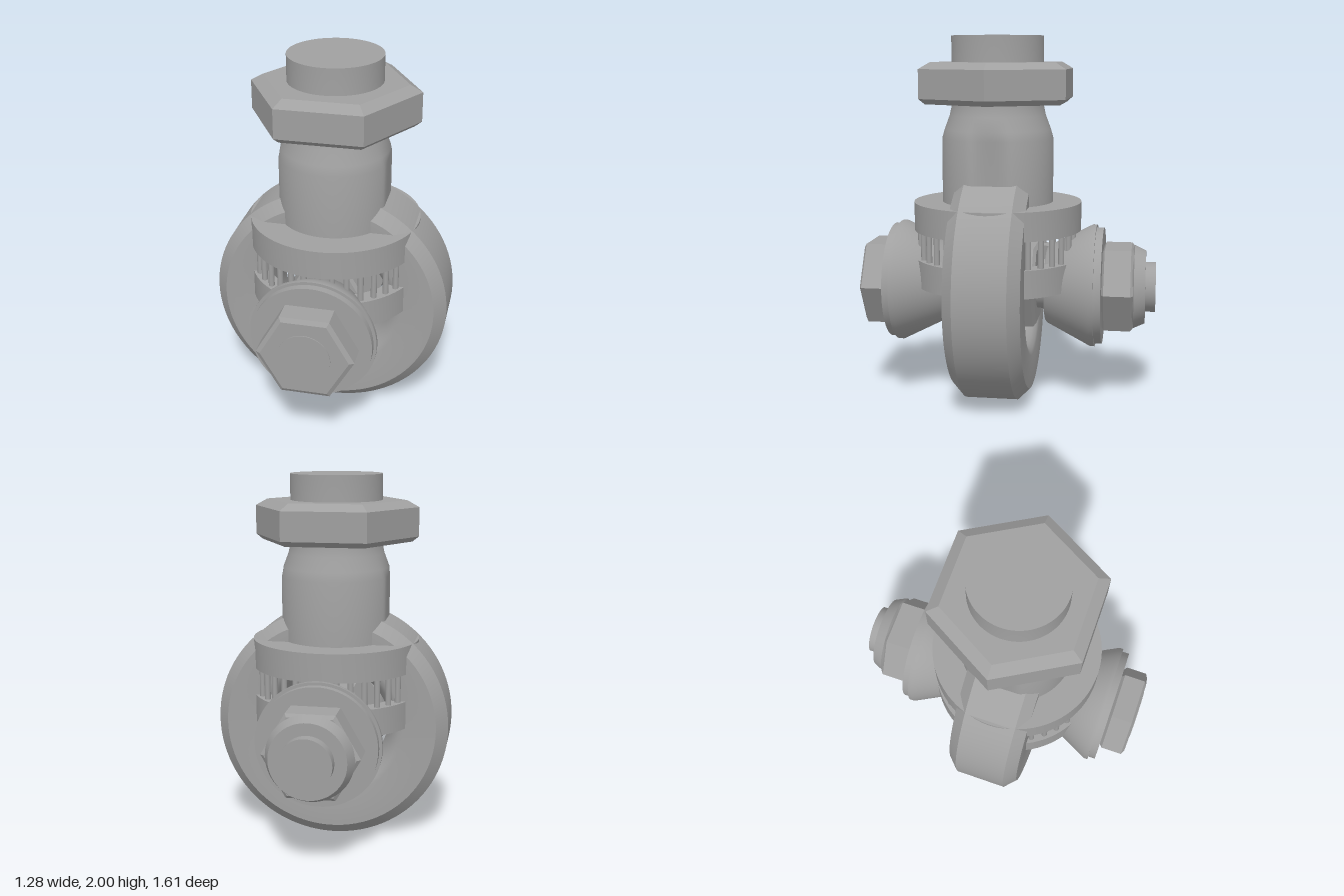
import * as THREE from 'three';
import { toCreasedNormals } from 'three/addons/utils/BufferGeometryUtils.js';

const steel = new THREE.MeshStandardMaterial({ color: 0xa0a0a0 });
steel.name = 'steel';

const AXLE_Y = 0.642; // height of the cross axle
const MID_Z = 0.068; // depth of the eye and shank

// Solid of revolution from [radius, height] pairs, running upwards on the outside.
function turned(profile, sides = 72) {
  const points = profile.map(([r, h]) => new THREE.Vector2(r, h));
  const start = sides === 6 ? Math.PI / 6 : 0; // hexagons point along x
  return toCreasedNormals(new THREE.LatheGeometry(points, sides, start), 0.5);
}

// Hexagonal nut with bevelled rims
function hexNut(radius, low, high, bevelLow, bevelHigh) {
  return turned([
    [0, low], [radius - bevelLow, low], [radius, low + bevelLow * 0.8],
    [radius, high - bevelHigh * 0.55], [radius - bevelHigh, high], [0, high],
  ], 6);
}

export function createModel() {
  const model = new THREE.Group();
  model.name = 'rodEnd';

  function add(name, geometry, parent) {
    const mesh = new THREE.Mesh(geometry, steel);
    mesh.name = name;
    parent.add(mesh);
    return mesh;
  }

  // Upright parts share one vertical axis
  const upright = new THREE.Group();
  upright.name = 'upright';
  upright.position.z = MID_Z;
  model.add(upright);

  // Shank with flats milled on its left and right
  const shank = new THREE.LatheGeometry([
    [0, 0.96], [0.304, 0.96], [0.304, 1.45], [0.29, 1.5], [0.262, 1.575],
    [0.25, 1.63], [0.25, 2], [0, 2],
  ].map(([r, h]) => new THREE.Vector2(r, h)), 96);
  const p = shank.attributes.position;
  for (let i = 0; i < p.count; i++) {
    if (p.getY(i) < 1.46) p.setX(i, THREE.MathUtils.clamp(p.getX(i), -0.284, 0.284));
  }
  add('shank', toCreasedNormals(shank, 0.5), upright);
  add('lockNut', hexNut(0.45, 1.64, 1.86, 0.035, 0.065), upright);

  // Collar, pillars and lower band of the cage
  add('collar', turned([[0, 0.95], [0.46, 0.95], [0.46, 1.105], [0, 1.105]]), upright);
  add('lowerBand', turned([
    [0.37, 0.65], [0.46, 0.65], [0.46, 0.8], [0.37, 0.8], [0.37, 0.65],
  ]), upright);
  const pillar = new THREE.CylinderGeometry(0.016, 0.016, 0.17, 10);
  for (let i = 0; i < 36; i++) {
    const a = (i / 36) * Math.PI * 2;
    add('pillar', pillar, upright).position.set(Math.sin(a) * 0.43, 0.875, Math.cos(a) * 0.43);
  }

  // Cross parts are turned about the z axis
  const cross = new THREE.Group();
  cross.name = 'cross';
  cross.position.y = AXLE_Y;
  cross.rotation.x = Math.PI / 2;
  model.add(cross);

  // Eye ring with bevelled rim and rounded bore
  const half = 0.2;
  const bore = [];
  for (let i = 0; i <= 12; i++) {
    const a = (i / 12) * Math.PI;
    bore.push([0.4 - 0.1 * Math.sin(a), MID_Z + half * Math.cos(a)]);
  }
  add('eyeRing', turned([
    [0.4, MID_Z - half], [0.58, MID_Z - half], [0.642, MID_Z - 0.14],
    [0.642, MID_Z + 0.14], [0.58, MID_Z + half], ...bore,
  ], 96), cross);

  // Hub and axle through the eye
  add('hub', hexNut(0.25, -0.16, 0.3, 0.02, 0.02), cross);
  add('axle', turned([[0, -0.805], [0.136, -0.805], [0.136, 0.805], [0, 0.805]]), cross);

  // Cone and washer on both sides of the eye
  for (const side of [1, -1]) {
    const profile = [
      [0, 0.277], [0.205, 0.277], [0.215, 0.285], [0.336, 0.525],
      [0.336, 0.548], [0.32, 0.548], [0.32, 0.587], [0, 0.587],
    ].map(([r, h]) => [r, MID_Z + side * h]);
    if (side < 0) profile.reverse();
    add(side > 0 ? 'frontCone' : 'backCone', turned(profile), cross);
  }

  // Bolt head in front, nut and cap at the back
  add('boltHead', hexNut(0.256, 0.655, 0.8, 0.02, 0.025), cross);
  add('backNut', hexNut(0.256, -0.688, -0.519, 0.02, 0.02), cross);
  add('backCap', turned([
    [0, -0.75], [0.2, -0.75], [0.228, -0.69], [0.21, -0.68], [0, -0.68],
  ]), cross);

  return model;
}
